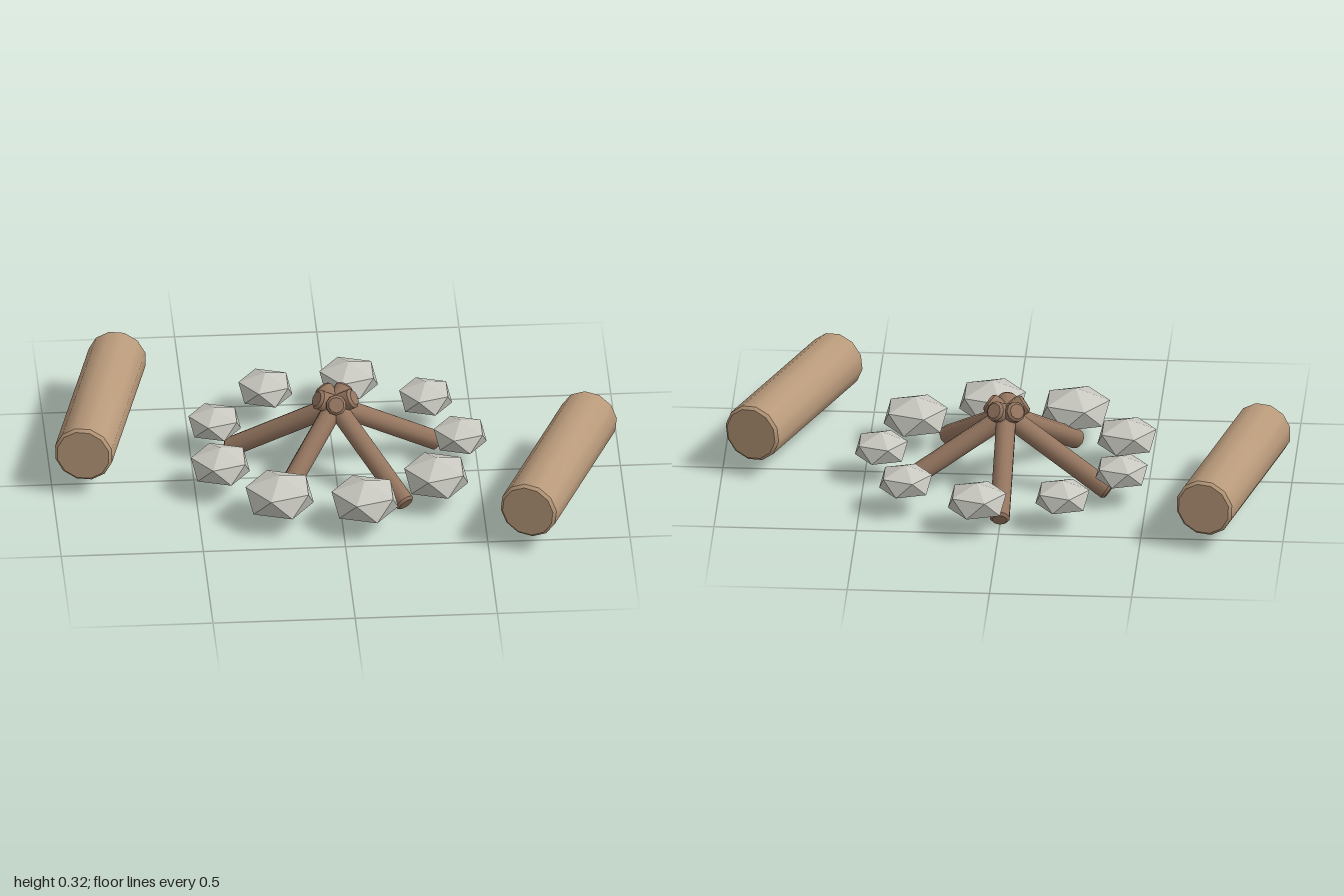
import * as THREE from 'three';
import { toCreasedNormals } from 'three/addons/utils/BufferGeometryUtils.js';

const wood = new THREE.MeshStandardMaterial({ color: 0xb8997a });
const darkWood = new THREE.MeshStandardMaterial({ color: 0x94755f });
const rock = new THREE.MeshStandardMaterial({ color: 0xc8c8c0, flatShading: true });

// Round log with slightly bevelled ends, running between two points
function makeLog(name, from, to, radius, bevel, sides, material) {
  const half = from.distanceTo(to) / 2;
  const profile = [
    [0, -half], [radius - bevel, -half], [radius, -half + bevel],
    [radius, half - bevel], [radius - bevel, half], [0, half],
  ].map(([r, y]) => new THREE.Vector2(r, y));
  const geometry = toCreasedNormals(new THREE.LatheGeometry(profile, sides), 0.7);
  const log = new THREE.Mesh(geometry, material);
  log.name = name;
  log.position.addVectors(from, to).multiplyScalar(0.5);
  log.quaternion.setFromUnitVectors(
    new THREE.Vector3(0, 1, 0),
    to.clone().sub(from).normalize()
  );
  return log;
}

export function createModel() {
  const model = new THREE.Group();
  model.name = 'campfire';
  const v = (x, y, z) => new THREE.Vector3(x, y, z);

  // Two logs to sit on, one on each side of the fire
  const seatY = 0.169;
  model.add(
    makeLog('rightSeatLog', v(-0.895, seatY, 0.085), v(-0.727, seatY, -0.6), 0.104, 0.01, 12, wood),
    makeLog('leftSeatLog', v(0.635, seatY, 0.58), v(0.897, seatY, -0.07), 0.104, 0.01, 12, wood)
  );

  const fire = new THREE.Group();
  fire.name = 'firePit';
  fire.position.z = -0.05;
  model.add(fire);

  // Five sticks leaning together, tips crossing over the middle
  for (let i = 0; i < 5; i++) {
    const a = -Math.PI / 2 + (i * Math.PI * 2) / 5;
    const at = (r, y) => v(Math.cos(a) * r, y, Math.sin(a) * r);
    fire.add(makeLog('fireStick', at(0.388, 0.031), at(-0.07, 0.3), 0.036, 0.009, 10, darkWood));
  }

  // Ring of nine flattened stones, larger towards the front
  const stoneGeometry = new THREE.IcosahedronGeometry(1, 0);
  stoneGeometry.rotateZ(Math.atan(2 / (1 + Math.sqrt(5))));
  const sizes = [0.104, 0.126, 0.131, 0.134, 0.116, 0.103, 0.106, 0.115, 0.104];
  sizes.forEach((size, i) => {
    const a = (i * Math.PI * 2) / sizes.length;
    const stone = new THREE.Mesh(stoneGeometry, rock);
    stone.name = 'ringStone';
    stone.position.set(Math.cos(a) * 0.44, 0.121, Math.sin(a) * 0.43);
    stone.scale.set(size, size * 0.59, size);
    fire.add(stone);
  });

  return model;
}
